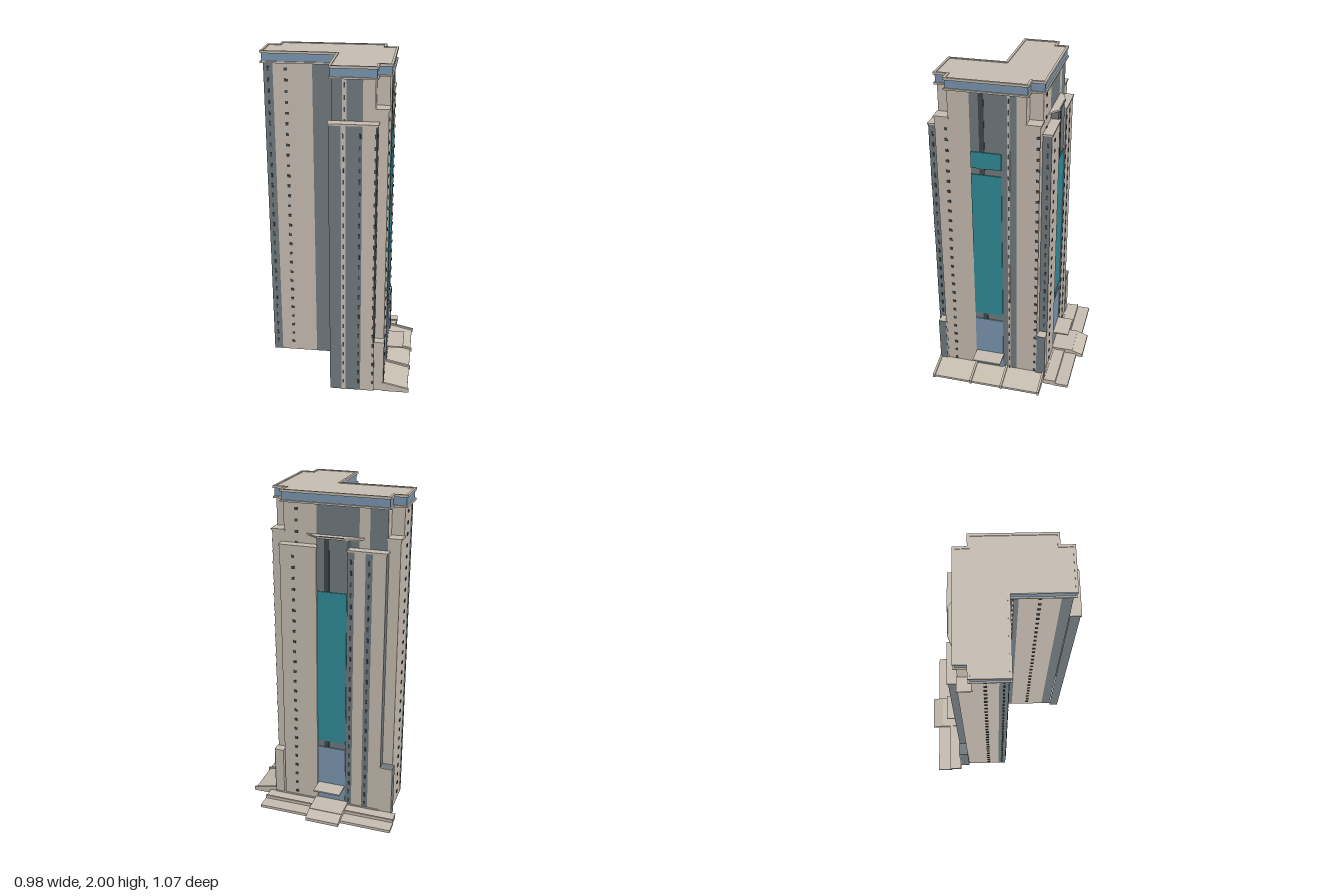
import * as THREE from 'three';
import { mergeGeometries } from 'three/addons/utils/BufferGeometryUtils.js';

const mat = (name, color) => {
  const m = new THREE.MeshStandardMaterial({ color, side: THREE.DoubleSide });
  m.name = name;
  return m;
};

export function createModel() {
  const stone = mat('stone', 0xc9bfb3);
  const slate = mat('slate', 0x737c80);
  const teal = mat('teal glass', 0x328d9b);
  const blue = mat('blue glass', 0x7c98b2);
  const dark = mat('dark openings', 0x3f494d);

  const model = new THREE.Group();
  model.name = 'tower';
  const plan = new THREE.Group(); // the whole plan is turned against the axes
  plan.name = 'building';
  plan.rotation.y = -THREE.MathUtils.degToRad(14);
  model.add(plan);

  const add = (name, geometry, material) => {
    const mesh = new THREE.Mesh(geometry, material);
    mesh.name = name;
    plan.add(mesh);
    return mesh;
  };
  const dist = (a, b) => Math.hypot(b[0] - a[0], b[1] - a[1]);

  // Places a geometry on the wall line a-b, centred s along it and at height y
  const onWall = (g, a, b, s, y, out = 0) => {
    const L = dist(a, b), dx = (b[0] - a[0]) / L, dz = (b[1] - a[1]) / L;
    return g.rotateY(-Math.atan2(dz, dx))
      .translate(a[0] + dx * s - dz * out, y, a[1] + dz * s + dx * out);
  };

  // A wall split along its length into vertical colour strips [width, material]
  const facade = (name, a, b, y0, y1, strips) => {
    const L = dist(a, b);
    let s = 0;
    strips.forEach(([w, m], i) => {
      const width = i === strips.length - 1 ? L - s : w;
      add(name, onWall(new THREE.PlaneGeometry(width, y1 - y0), a, b, s + width / 2, (y0 + y1) / 2), m);
      s += width;
    });
  };

  // Thin plate on a wall
  const plate = (name, a, b, s, width, y0, y1, m, out = 0.003) =>
    add(name, onWall(new THREE.BoxGeometry(width, y1 - y0, 0.006), a, b, s, (y0 + y1) / 2, out), m);

  // Column of small windows
  const windows = (a, b, s, top, width = 0.018, height = 0.016, out = 0.001) => {
    const list = [];
    for (let y = 0.062; y < top - 0.01; y += 0.0655)
      list.push(onWall(new THREE.BoxGeometry(width, height, 0.006), a, b, s, y, out));
    add('windowColumn', mergeGeometries(list), dark);
  };

  // Stone mullion strip carrying a window column
  const mullion = (a, b, s, top, width = 0.018) => {
    plate('mullion', a, b, s, width, 0, top, stone, 0.001);
    windows(a, b, s, top, 0.008, 0.026, 0.002);
  };

  // Flat slab with an optional opening
  const slab = (name, pts, y, thick, m, hole) => {
    const v = p => new THREE.Vector2(p[0], -p[1]);
    const shape = new THREE.Shape(pts.map(v));
    if (hole) shape.holes.push(new THREE.Path(hole.map(v)));
    const g = new THREE.ExtrudeGeometry(shape, { depth: thick, bevelEnabled: false });
    return add(name, g.rotateX(-Math.PI / 2).translate(0, y, 0), m);
  };
  const rect = (x0, x1, z0, z1) => [[x0, z1], [x1, z1], [x1, z0], [x0, z0]];

  // Moves every corner of a right-angled outline inwards
  const inset = (pts, d) => pts.map((p, i) => {
    const a = pts[(i + pts.length - 1) % pts.length], b = pts[(i + 1) % pts.length];
    const l1 = dist(a, p), l2 = dist(p, b);
    return [
      p[0] + d * ((p[1] - a[1]) / l1 + (b[1] - p[1]) / l2),
      p[1] - d * ((p[0] - a[0]) / l1 + (b[0] - p[0]) / l2),
    ];
  });

  // Roof outline, counted round from the left wing front
  const roof = [[-0.49, 0.063], [-0.048, 0.063], [-0.048, 0.403], [0.22, 0.403], [0.22, 0.325], [0.292, 0.325],
    [0.292, -0.151], [0.22, -0.151], [0.22, -0.228], [-0.417, -0.228], [-0.417, -0.156], [-0.49, -0.156]];
  const W = inset(roof, 0.015);

  // Main walls
  const T = 1.93;
  const strips = {
    0: [[0.055, slate], [0.23, stone], [0, slate]],
    1: [[0.06, slate], [0.22, stone], [0, slate]],
    2: [[0.17, slate], [0, stone]],
    5: [[0.125, stone], [0.265, slate], [0, stone]],
    8: [[0.195, stone], [0.25, slate], [0.06, stone], [0, slate]],
    11: [[0.14, stone], [0, slate]],
  };
  W.forEach((a, i) => facade('mainWall', a, W[(i + 1) % 12], 0, T, strips[i] || [[0, stone]]));
  windows(W[0], W[1], 0.13, T);
  windows(W[0], W[1], 0.026, T, 0.01, 0.026);
  windows(W[1], W[2], 0.17, T);
  mullion(W[1], W[2], 0.03, T, 0.012);
  mullion(W[2], W[3], 0.07, T, 0.022);
  mullion(W[5], W[6], 0.345, T, 0.014);
  windows(W[8], W[9], 0.075, T);
  windows(W[11], W[0], 0.07, T);
  windows(W[11], W[0], 0.165, T, 0.01, 0.026);

  // Cornice, blue attic band and roof with a raised rim
  slab('lowerCornice', roof, 1.93, 0.01, stone);
  slab('atticBand', inset(roof, 0.008), 1.94, 0.046, blue);
  slab('roofDeck', inset(roof, 0.013), 1.985, 0.01, stone);
  slab('roofRim', roof, 1.986, 0.014, stone, inset(roof, 0.014));

  // Corner piers filling the notches
  const pier = (x0, x1, z0, z1) => {
    const p = rect(x0, x1, z0, z1);
    p.forEach((a, i) => facade('cornerPier', a, p[(i + 1) % 4], 0, 1.765, [[0, stone]]));
    slab('pierCap', rect(x0 - 0.006, x1 + 0.006, z0 - 0.006, z1 + 0.006), 1.762, 0.01, stone);
    return p;
  };
  const se = pier(0.205, 0.277, 0.31, 0.388);
  const ne = pier(0.205, 0.277, -0.213, -0.136);
  pier(-0.475, -0.402, -0.213, -0.141);
  windows(se[1], se[2], 0.064, 1.76);
  windows(ne[1], ne[2], 0.066, 1.76);

  // Projecting bays below the upper storeys
  const bay = (name, pts, strips, top, capPts) => {
    for (let i = 0; i < pts.length - 1; i++)
      facade(name, pts[i], pts[i + 1], 0, top - 0.008, strips[i]);
    slab(name + 'Cap', capPts, top - 0.01, 0.01, stone);
  };
  const fb = [[-0.045, 0.388], [-0.045, 0.445], [0.222, 0.445], [0.222, 0.388]];
  bay('frontBay', fb, [[[0, slate]], [[0.185, slate], [0, stone]], [[0, slate]]], 1.7, rect(-0.05, 0.228, 0.385, 0.451));
  mullion(fb[1], fb[2], 0.082, 1.69, 0.025);
  windows(fb[1], fb[2], 0.172, 1.69, 0.01, 0.026);
  plate('cornerJoint', fb[1], fb[2], 0.262, 0.006, 0.345, 1.69, dark, 0);
  windows(fb[1], fb[2], 0.259, 1.69, 0.014, 0.022);
  windows(fb[2], fb[3], 0.02, 1.69, 0.01, 0.026);

  // Two back bays flanking the back entrance
  const lb = [[-0.187, -0.213], [-0.187, -0.265], [-0.41, -0.265], [-0.41, -0.213]];
  bay('backLeftBay', lb, [[[0, stone]], [[0.04, slate], [0.065, stone], [0.04, slate], [0, stone]], [[0, slate]]],
    1.7, rect(-0.416, -0.182, -0.271, -0.21));
  windows(lb[1], lb[2], 0.022, 1.69, 0.01, 0.026);
  windows(lb[1], lb[2], 0.125, 1.69, 0.01, 0.026);
  const rb = [[0.215, -0.213], [0.215, -0.265], [-0.004, -0.265], [-0.004, -0.213]];
  bay('backRightBay', rb, [[[0, slate]], [[0, stone]], [[0, stone]]], 1.7, rect(-0.009, 0.221, -0.271, -0.21));
  windows(rb[1], rb[2], 0.08, 1.69);
  windows(rb[0], rb[1], 0.03, 1.69, 0.01, 0.026);

  // Slate entrance bay with its shallow pointed eave
  const eb = [[-0.004, -0.213], [-0.004, -0.255], [-0.187, -0.255], [-0.187, -0.213]];
  bay('entranceBay', eb, [[[0, slate]], [[0, slate]], [[0, slate]]], 1.76,
    [[0.08, -0.21], [0.04, -0.228], [-0.007, -0.265], [-0.17, -0.265], [-0.25, -0.235], [-0.27, -0.21]]);
  slab('eaveGrille', rect(-0.165, -0.02, -0.266, -0.258), 1.758, 0.005, slate);

  // Glazed fronts of the two entrances over a dark full-height joint
  const glazing = (a, b, s, width, joint, top) => {
    plate('darkJoint', a, b, joint, 0.03, 0, top, dark, 0);
    plate('entranceGlass', a, b, s, width, 0.04, 0.42, blue, 0.004);
    plate('tallWindow', a, b, s, width, 0.465, 1.44, teal, 0.004);
  };
  glazing(W[5], W[6], 0.215, 0.178, 0.192, T);
  plate('upperWindow', W[5], W[6], 0.215, 0.178, 1.48, 1.58, teal, 0.004);
  glazing(eb[1], eb[2], 0.092, 0.176, 0.06, 1.75);
  slab('rightCanopy', rect(0.275, 0.387, 0.0, 0.182), 0.15, 0.009, stone);
  slab('backCanopy', rect(-0.181, -0.011, -0.365, -0.25), 0.15, 0.009, stone);

  // Low corner blocks with contrasting side panels
  for (const [x0, x1, z0, z1, m] of [
    [0.215, 0.28, 0.38, 0.435, stone], [0.225, 0.281, -0.268, -0.205, stone], [-0.487, -0.41, -0.267, -0.21, slate]]) {
    slab('lowCorner', rect(x0, x1, z0, z1), 0, 0.345, m);
  }
  plate('cornerPanel', [0.28, 0.435], [0.28, 0.388], 0.0235, 0.047, 0, 0.345, slate, 0);
  plate('cornerPanel', [0.281, -0.213], [0.281, -0.268], 0.0275, 0.055, 0, 0.345, slate, 0);
  plate('cornerPanel', [-0.41, -0.267], [-0.487, -0.267], 0.0385, 0.077, 0, 0.345, stone, 0);

  // Sloping aprons: a wedge profile running out from the wall, extruded sideways
  const wedge = (name, r0, r1, h0, h1, width) => {
    const s = new THREE.Shape([[r0, 0], [r1, 0], [r1, h1], [r0, h0]].map(p => new THREE.Vector2(...p)));
    return add(name, new THREE.ExtrudeGeometry(s, { depth: width, bevelEnabled: false }), stone);
  };
  for (const [z0, z1] of [[-0.26, -0.016], [-0.016, 0.186], [0.186, 0.436]])
    wedge('rightApron', 0.27, 0.43, 0.052, 0.014, z1 - z0).position.z = z0;
  for (const z of [-0.264, -0.022, 0.18, 0.426])
    wedge('apronKerb', 0.27, 0.438, 0.062, 0.024, 0.013).position.z = z;

  // Back terraces on both sides of the entrance landing
  for (const [x0, x1] of [[-0.521, -0.2], [0.005, 0.323]]) {
    slab('lowerTerrace', rect(x0, x1, -0.429, -0.338), 0, 0.018, stone);
    slab('upperTerrace', rect(x0 + 0.004, x1 - 0.004, -0.345, -0.27), 0, 0.032, stone);
    slab('terraceKerb', rect(x0, x1, -0.348, -0.338), 0, 0.038, stone);
  }
  slab('backPaving', rect(-0.41, 0.28, -0.275, -0.2), 0, 0.036, stone);
  slab('entranceLanding', rect(-0.205, 0.007, -0.4, -0.24), 0, 0.045, stone);
  const ramp = wedge('entranceRamp', 0.39, 0.47, 0.045, 0.02, 0.212);
  ramp.rotation.y = Math.PI / 2;
  ramp.position.x = -0.205;

  return model;
}
